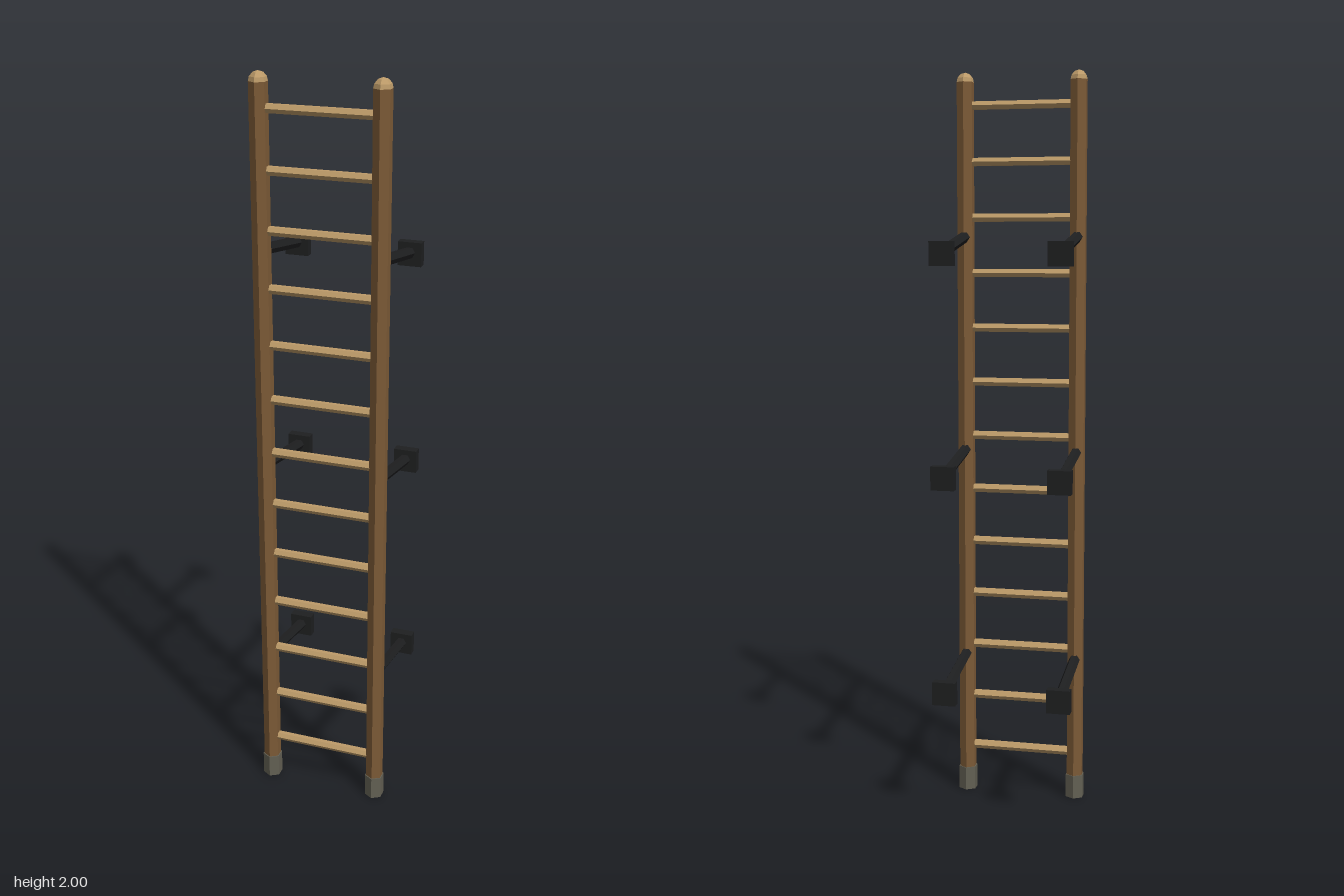
import * as THREE from 'three';

const material = (name, color) => {
  const m = new THREE.MeshStandardMaterial({ color, flatShading: true });
  m.name = name;
  return m;
};

export function createModel() {
  const model = new THREE.Group();
  model.name = 'wallLadder';
  const darkWood = material('dark wood', 0x7d5b37);
  const lightWood = material('light wood', 0xbd9b69);
  const blackMetal = material('black metal', 0x1e1f20);
  const footGrey = material('foot grey', 0x646154);

  const RAIL_X = 0.155, RAIL_Z = 0.118;

  const add = (name, geometry, mat, x, y, z) => {
    const mesh = new THREE.Mesh(geometry, mat);
    mesh.name = name;
    mesh.position.set(x, y, z);
    model.add(mesh);
    return mesh;
  };

  // Shared hexagonal parts
  const railGeo = new THREE.CylinderGeometry(0.024, 0.024, 1.96, 6);
  const footGeo = new THREE.CylinderGeometry(0.027, 0.027, 0.065, 6);
  const capProfile = [[0.024, 0], [0.0215, 0.011], [0.013, 0.021], [0, 0.025]]
    .map(([r, y]) => new THREE.Vector2(r, y));
  const capGeo = new THREE.LatheGeometry(capProfile, 6);
  const rungGeo = new THREE.CylinderGeometry(0.0125, 0.0125, RAIL_X * 2, 6).rotateZ(Math.PI / 2);
  const plateGeo = new THREE.BoxGeometry(0.063, 0.063, 0.025);

  // Wall bracket arm, sloping down towards the wall
  const armStart = new THREE.Vector3(0, 0.047, RAIL_Z);
  const armEnd = new THREE.Vector3(0, 0.002, -0.133);
  const armDir = armEnd.clone().sub(armStart);
  const armGeo = new THREE.CylinderGeometry(0.015, 0.015, armDir.length(), 6).rotateY(Math.PI / 6);
  const armTurn = new THREE.Quaternion().setFromUnitVectors(
    new THREE.Vector3(0, 1, 0), armDir.clone().normalize());
  const armMid = armStart.clone().add(armEnd).multiplyScalar(0.5);

  for (const [side, s] of [['left', 1], ['right', -1]]) {
    const x = s * RAIL_X;
    add(side + 'Rail', railGeo, darkWood, x, 0.995, RAIL_Z);
    add(side + 'Cap', capGeo, lightWood, x, 1.975, RAIL_Z);
    add(side + 'Foot', footGeo, footGrey, x, 0.0325, RAIL_Z);

    // Three brackets per rail
    for (let i = 0; i < 3; i++) {
      const y = 0.357 + i * 0.5815;
      add(side + 'BracketArm' + (i + 1), armGeo, blackMetal, x, y + armMid.y, armMid.z)
        .quaternion.copy(armTurn);
      add(side + 'WallPlate' + (i + 1), plateGeo, blackMetal, x, y, -0.1335);
    }
  }

  // Evenly spaced rungs
  for (let i = 0; i < 13; i++) {
    add('rung' + (i + 1), rungGeo, lightWood, 0, 0.13 + i * 0.1486, RAIL_Z);
  }

  return model;
}
